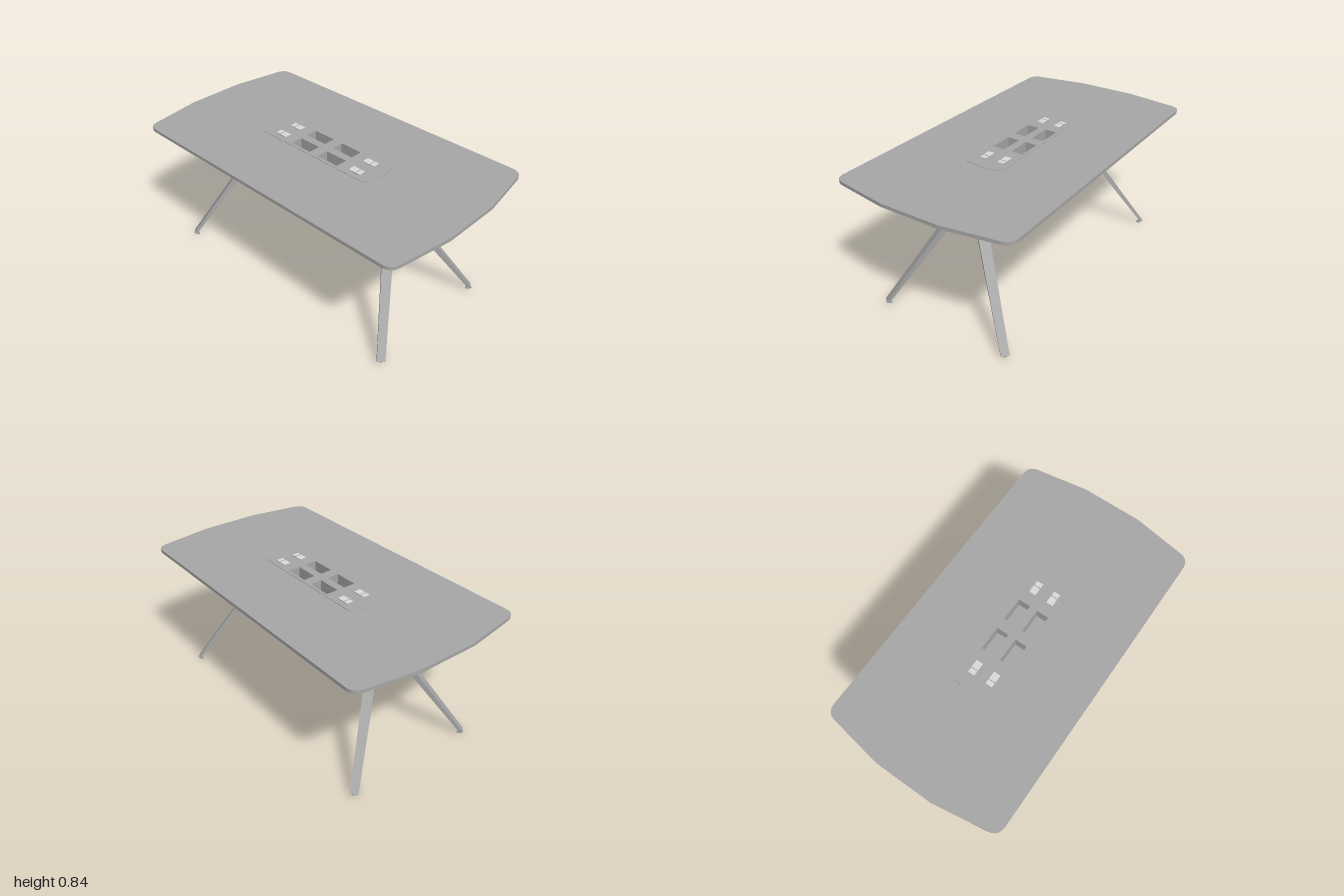
import * as THREE from 'three';

const MIRRORS = [[1, 1], [-1, 1], [-1, -1], [1, -1]];

// Connect stacked loops of [x, y, z] points, ordered from top to bottom
function loft(loops, caps) {
  const pos = [], n = loops[0].length;
  const tri = (a, b, c) => pos.push(...a, ...b, ...c);
  for (let k = 0; k < loops.length - 1; k++) {
    for (let i = 0; i < n; i++) {
      const j = (i + 1) % n, u = loops[k], v = loops[k + 1];
      tri(u[i], u[j], v[i]);
      tri(u[j], v[j], v[i]);
    }
  }
  if (caps) {
    const top = loops[0], end = loops[loops.length - 1];
    for (let i = 1; i < n - 1; i++) {
      tri(top[0], top[i + 1], top[i]);
      tri(end[0], end[i], end[i + 1]);
    }
  }
  const g = new THREE.BufferGeometry();
  g.setAttribute('position', new THREE.Float32BufferAttribute(pos, 3));
  g.computeVertexNormals();
  return g;
}

// Mirror a quarter outline, given from the end to the front, into a full loop
function fullLoop(quarter, y) {
  return MIRRORS.flatMap(([sx, sz]) => {
    const pts = quarter.map(([x, z]) => [x * sx, y, z * sz]);
    return sx * sz > 0 ? pts : pts.reverse();
  });
}

// Boat-shaped outline with bowed ends and rounded corners
function boatShape(xEnd, zFlat, xCorner, zSide, r) {
  const s = new THREE.Shape();
  const t = r / (zSide - zFlat);
  const xr = xCorner + (xEnd - xCorner) * t;
  s.moveTo(xEnd, -zFlat);
  s.lineTo(xEnd, zFlat);
  s.lineTo(xr, zSide - r);
  s.quadraticCurveTo(xCorner, zSide, xCorner - r, zSide);
  s.lineTo(-xCorner + r, zSide);
  s.quadraticCurveTo(-xCorner, zSide, -xr, zSide - r);
  s.lineTo(-xEnd, zFlat);
  s.lineTo(-xEnd, -zFlat);
  s.lineTo(-xr, -zSide + r);
  s.quadraticCurveTo(-xCorner, -zSide, -xCorner + r, -zSide);
  s.lineTo(xCorner - r, -zSide);
  s.quadraticCurveTo(xCorner, -zSide, xr, -zSide + r);
  s.closePath();
  return s;
}

function rect(path, x, z, hx, hz) {
  path.moveTo(x - hx, z - hz);
  path.lineTo(x + hx, z - hz);
  path.lineTo(x + hx, z + hz);
  path.lineTo(x - hx, z + hz);
  path.closePath();
  return path;
}

// Horizontal slab with the four cable pockets cut through
function slab(shape, y0, y1) {
  for (const [sx, sz] of MIRRORS) {
    shape.holes.push(rect(new THREE.Path(), sx * 0.105, sz * 0.061, 0.073, 0.037));
  }
  const g = new THREE.ExtrudeGeometry(shape, { depth: y1 - y0, bevelEnabled: false, curveSegments: 8 });
  return g.rotateX(-Math.PI / 2).translate(0, y0, 0);
}

export function createModel() {
  const group = new THREE.Group();
  const grey = new THREE.MeshStandardMaterial({ color: 0xa8a8a8 });
  grey.name = 'grey';
  const pale = new THREE.MeshStandardMaterial({ color: 0xdcdcdc });
  pale.name = 'paleGrey';

  const add = (name, geometry, material = grey) => {
    const m = new THREE.Mesh(geometry, material);
    m.name = name;
    group.add(m);
    return m;
  };
  const box = (name, w, h, d, x, y, z, material) =>
    add(name, new THREE.BoxGeometry(w, h, d).translate(x, y, z), material);

  // Top with a slim raised panel around the pockets
  add('tableTop', slab(boatShape(1, 0.18, 0.94, 0.555, 0.06), 0.81, 0.83));
  add('centrePanel', slab(boatShape(0.42, 0.04, 0.405, 0.118, 0.02), 0.83, 0.833));

  // Cable tray under the pockets
  add('trayWalls', slab(rect(new THREE.Shape(), 0, 0, 0.5, 0.105), 0.76, 0.81));
  box('trayBase', 1.0, 0.06, 0.21, 0, 0.73, 0);
  const grommet = new THREE.TorusGeometry(0.03, 0.005, 8, 24);
  add('cableGrommet', grommet.rotateX(Math.PI / 2).translate(0, 0.7, 0));

  // Sloping apron ring, open below
  const upper = [[0.66, 0.1], [0.62, 0.345], [0.49, 0.365]];
  const lower = [[0.58, 0.1], [0.545, 0.275], [0.49, 0.29]];
  const inset = (q) => q.map(([x, z]) => [x - 0.02, z - 0.02]);
  add('apron', loft([
    fullLoop(upper, 0.81), fullLoop(lower, 0.7),
    fullLoop(inset(lower), 0.7), fullLoop(inset(upper), 0.81),
  ], false));

  // Cross rails carrying the legs
  for (const s of [1, -1]) box('crossRail', 0.05, 0.06, 0.54, s * 0.53, 0.78, 0);

  // Bent, tapered legs with the wide face turned along the splay
  const sections = [
    [[0.575, 0.78, 0.055], [0.53, 0.78, 0.1], [0.51, 0.78, 0.08], [0.555, 0.78, 0.035]],
    [[0.575, 0.635, 0.055], [0.53, 0.635, 0.1], [0.51, 0.61, 0.08], [0.555, 0.61, 0.035]],
    [[0.838, 0.018, 0.405], [0.805, 0.018, 0.438], [0.793, 0.012, 0.426], [0.826, 0.012, 0.393]],
  ];
  for (const [sx, sz] of MIRRORS) {
    const loops = sections.map((loop) => {
      const pts = loop.map(([x, y, z]) => [x * sx, y, z * sz]);
      return sx * sz > 0 ? pts : pts.reverse();
    });
    add('leg', loft(loops, true));
    add('footPad', new THREE.CylinderGeometry(0.012, 0.012, 0.007, 16).translate(sx * 0.805, 0.0035, sz * 0.407));
    add('footStem', new THREE.CylinderGeometry(0.006, 0.006, 0.014, 12).translate(sx * 0.805, 0.012, sz * 0.407));

    // Power sockets beside the pockets
    box('socketPlate', 0.08, 0.003, 0.042, sx * 0.29, 0.834, sz * 0.058, pale);
    for (const e of [1, -1]) {
      box('socketEdge', 0.07, 0.003, 0.004, sx * 0.29, 0.834, sz * 0.058 + e * 0.023);
    }
    box('socketDivider', 0.005, 0.002, 0.042, sx * 0.3, 0.8355, sz * 0.058);
  }
  return group;
}
